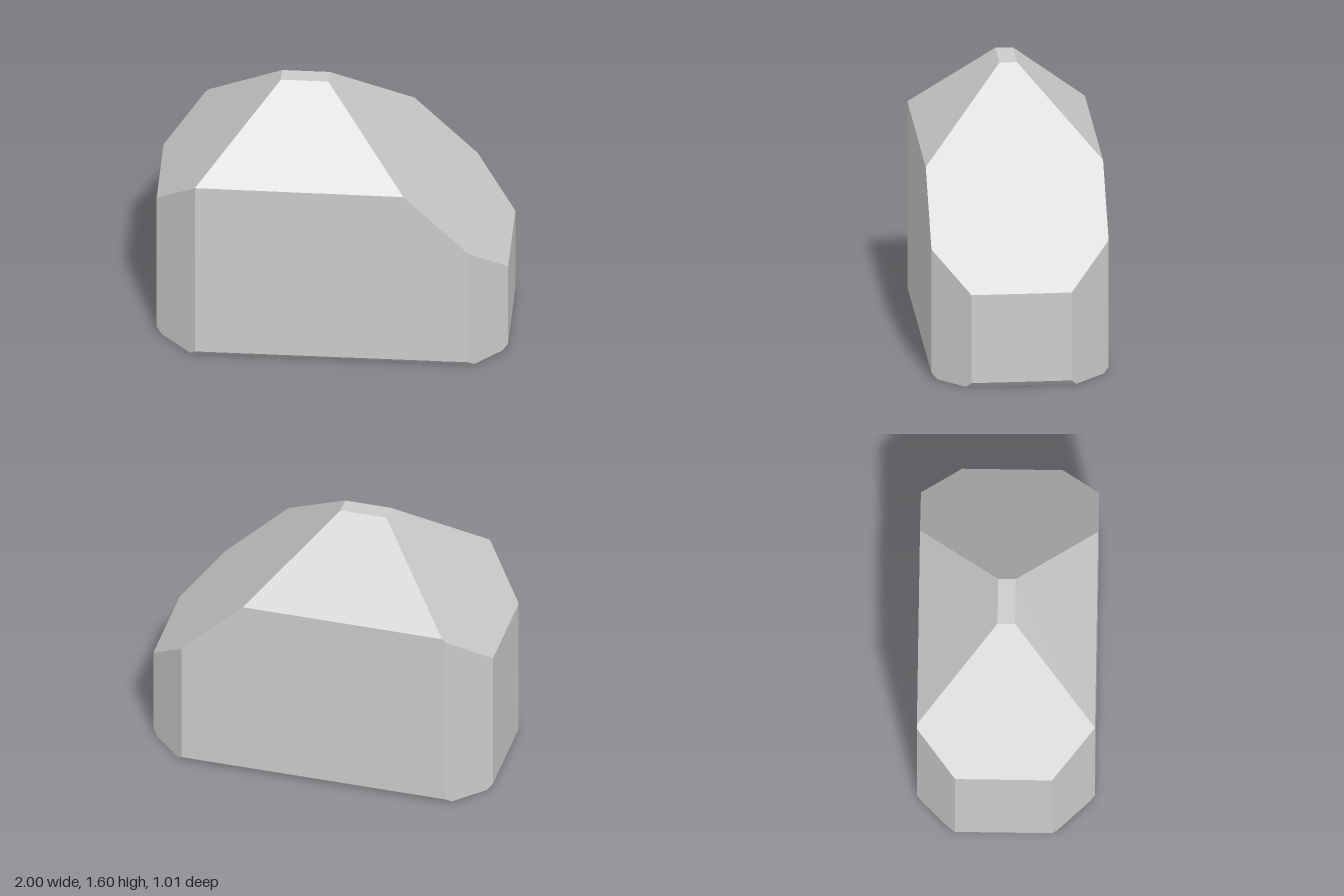
import * as THREE from 'three';
import { ConvexGeometry } from 'three/addons/geometries/ConvexGeometry.js';

const HALF_DEPTH = 0.505;
const TOP = 1.595;
const BEVEL = 0.03;

// Heights of the two 45 degree end slopes
const leftSlope = (x) => TOP + (x + 0.31);
const rightSlope = (x) => TOP - (x + 0.04);

// Each plan corner is cut diagonally: x on the long wall, z on the end wall
const corners = [
  { end: 1, side: 1, x: 0.79, z: 0.295 },
  { end: 1, side: -1, x: 0.77, z: -0.275 },
  { end: -1, side: -1, x: -0.78, z: -0.285 },
  { end: -1, side: 1, x: -0.765, z: 0.265 },
];

export function createModel() {
  const points = [];
  const add = (x, y, z) => points.push(new THREE.Vector3(x, y, z));

  // Walls, with a small bevel under the straight sides only
  for (const { end, side, x, z } of corners) {
    const slope = end > 0 ? rightSlope : leftSlope;
    const wallZ = side * HALF_DEPTH;
    add(x, BEVEL, wallZ);
    add(x, slope(x), wallZ);
    add(end, BEVEL, z);
    add(end, slope(end), z);
    add(x + end * BEVEL, 0, wallZ - side * BEVEL);
    add(end * (1 - BEVEL), 0, z + side * BEVEL);
  }

  // Eaves of the long roof slopes
  add(0.42, 1.135, HALF_DEPTH);
  add(0.41, 1.145, -HALF_DEPTH);
  add(-0.76, 1.145, -HALF_DEPTH);

  // Small flat summit
  for (const x of [-0.31, -0.04]) {
    for (const z of [0.045, -0.055]) add(x, TOP, z);
  }

  const body = new THREE.Mesh(
    new ConvexGeometry(points),
    new THREE.MeshStandardMaterial({ color: 0xcccccc, flatShading: true })
  );
  body.name = 'facetedBlock';

  const group = new THREE.Group();
  group.name = 'facetedStone';
  group.add(body);
  return group;
}
